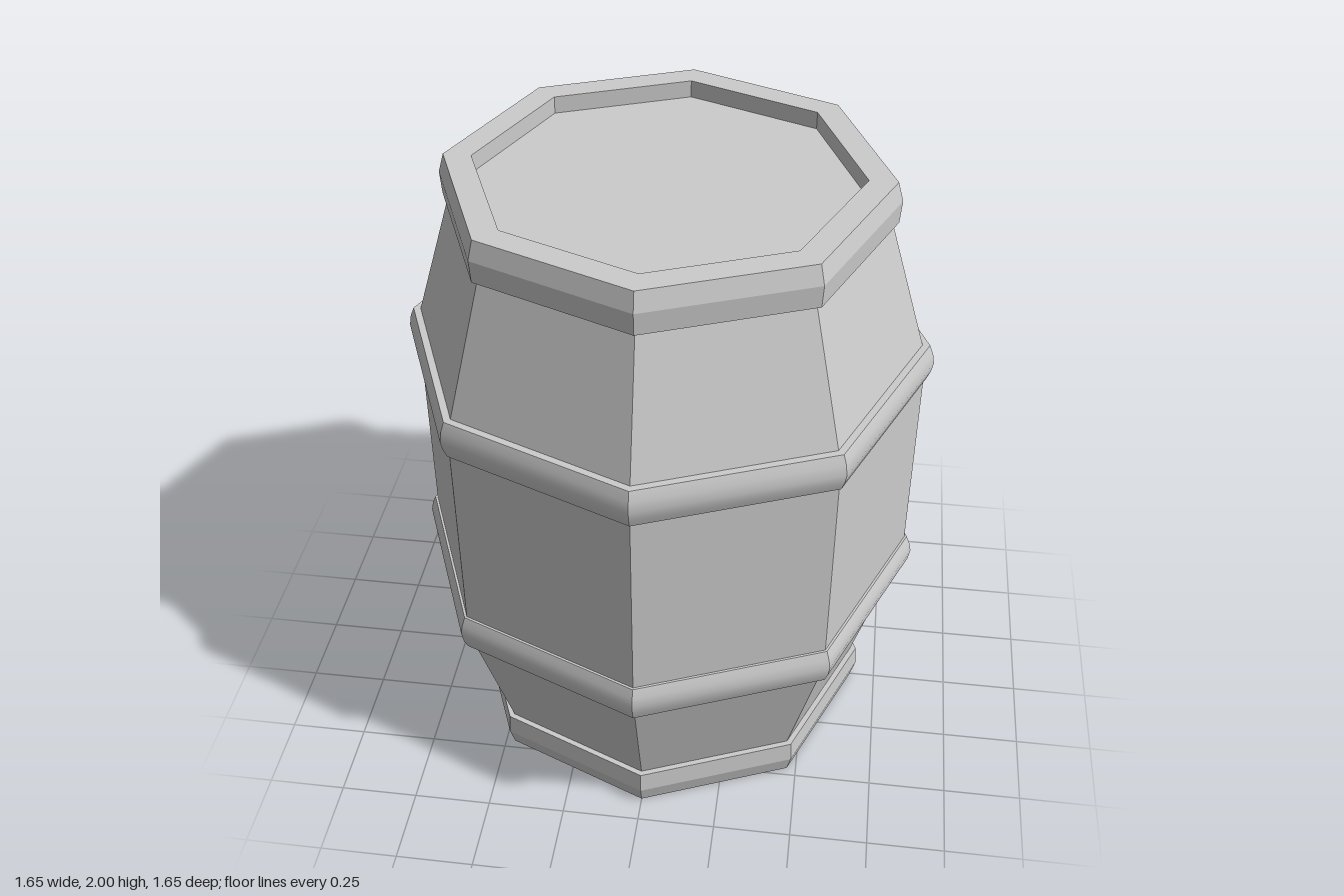
import * as THREE from 'three';
import { toCreasedNormals } from 'three/addons/utils/BufferGeometryUtils.js';

const SIDES = 8;
const HEIGHT = 2;

// Profiles are [radius, y], running outward along the bottom and then up.
const staves = [[0.655, 0.12], [0.8, 0.6], [0.8, 1.4], [0.655, 1.88]];
const lowerHoop = [[0.76, 0.55], [0.808, 0.55], [0.82, 0.58], [0.826, 0.615], [0.82, 0.645], [0.808, 0.675], [0.78, 0.675]];
const lowerRim = [[0.58, 0.055], [0.58, 0], [0.665, 0], [0.682, 0.06], [0.677, 0.13], [0.64, 0.13]];
const lowerHead = [[0, 0.055], [0.58, 0.055]];

// Flip a profile to the other end, keeping its faces outward
const flip = (profile) => profile.map(([r, y]) => [r, HEIGHT - y]).reverse();

export function createModel() {
  const group = new THREE.Group();
  group.name = 'barrel';
  const flat = new THREE.MeshStandardMaterial({ color: 0xcccccc, flatShading: true });
  const smooth = new THREE.MeshStandardMaterial({ color: 0xcccccc });

  function addRing(name, profile, rounded = false) {
    const points = profile.map(([r, y]) => new THREE.Vector2(r, y));
    let geometry = new THREE.LatheGeometry(points, SIDES);
    // Rounded in section, sharp at the eight corners
    if (rounded) geometry = toCreasedNormals(geometry, 0.6);
    const mesh = new THREE.Mesh(geometry, rounded ? smooth : flat);
    mesh.name = name;
    group.add(mesh);
  }

  addRing('staves', staves);

  // Hoop, end rim and recessed head at each end
  for (const [end, place] of [['lower', (p) => p], ['upper', flip]]) {
    addRing(end + 'Hoop', place(lowerHoop), true);
    addRing(end + 'Rim', place(lowerRim));
    addRing(end + 'Head', place(lowerHead));
  }
  return group;
}
